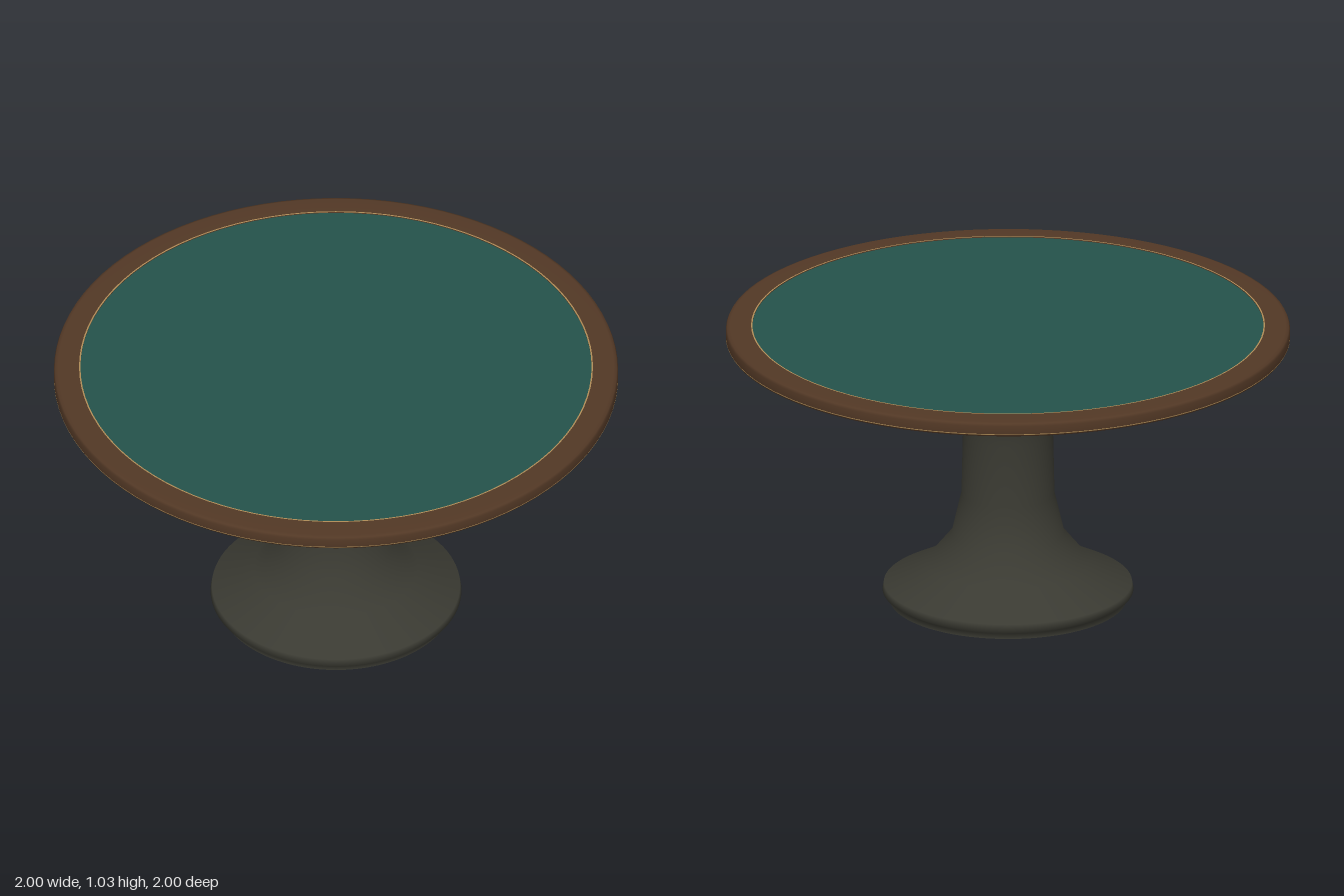
import * as THREE from 'three';

const SEGMENTS = 96;
const material = (name, color) => {
  const m = new THREE.MeshStandardMaterial({ color });
  m.name = name;
  return m;
};

export function createModel() {
  const table = new THREE.Group();
  table.name = 'roundTable';

  const felt = material('green felt', 0x24524a);
  const wood = material('dark walnut', 0x523825);
  const brass = material('brass', 0xb08d57);
  const iron = material('dark pedestal', 0x3a3a32);

  const add = (name, geometry, mat, y = 0) => {
    const mesh = new THREE.Mesh(geometry, mat);
    mesh.name = name;
    mesh.position.y = y;
    table.add(mesh);
    return mesh;
  };
  // Profiles run from the bottom up the outside
  const lathe = (points) =>
    new THREE.LatheGeometry(points.map(([r, y]) => new THREE.Vector2(r, y)), SEGMENTS);

  // Flared pedestal and its flat underside
  add('pedestal', lathe([
    [0.42, 0], [0.42, 0.02], [0.445, 0.036], [0.44, 0.062], [0.29, 0.14],
    [0.2, 0.25], [0.165, 0.4], [0.16, 0.63], [0.182, 0.8], [0.25, 0.89], [0.4, 0.957],
  ]), iron);
  const underside = add('pedestalUnderside', new THREE.CircleGeometry(0.42, SEGMENTS), iron);
  underside.rotation.x = Math.PI / 2;

  // Collar between the pedestal and the top
  add('collar', lathe([
    [0, 0.955], [0.385, 0.955], [0.385, 0.955], [0.425, 0.968], [0.43, 0.975], [0.43, 1.002],
  ]), brass);

  // Playing surface, set into the rim
  add('feltTop', new THREE.CylinderGeometry(0.908, 0.908, 0.028, SEGMENTS), felt, 1.014);

  // Wooden rim with softened edges
  add('rim', lathe([
    [0.906, 1.028], [0.906, 0.975], [0.906, 0.975], [0.985, 0.975], [0.996, 0.979],
    [1, 0.988], [1, 1.017], [0.996, 1.026], [0.985, 1.03], [0.906, 1.03], [0.906, 1.03], [0.906, 1.028],
  ]), wood);

  // Thin brass inlays around the felt and the outer edge
  const inlay = add('feltInlay', new THREE.RingGeometry(0.906, 0.911, SEGMENTS), brass, 1.0315);
  inlay.rotation.x = -Math.PI / 2;
  const edge = add('edgeInlay', new THREE.TorusGeometry(0.9975, 0.003, 6, SEGMENTS), brass, 0.987);
  edge.rotation.x = Math.PI / 2;

  return table;
}
